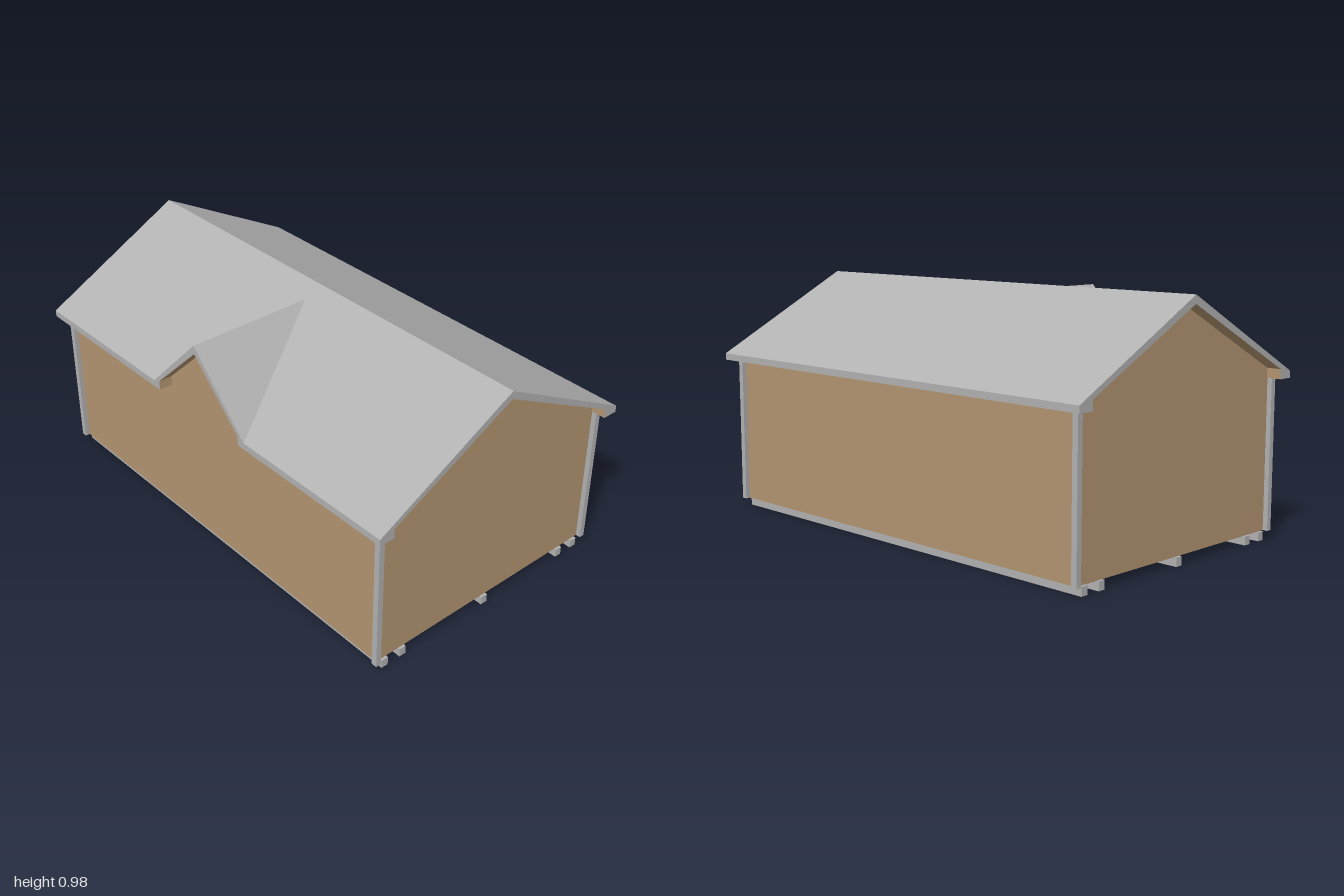
import * as THREE from 'three';

const grey = new THREE.MeshStandardMaterial({ color: 0xb2b2b2, side: THREE.DoubleSide });
grey.name = 'greyMetal';
const tan = new THREE.MeshStandardMaterial({ color: 0xb39571, side: THREE.DoubleSide });
tan.name = 'tanSiding';

// Key dimensions
const RIDGE = 0.983, EAVE_Z = 0.605, EAVE_TOP = 0.66, EAVE_LOW = 0.633, INNER_Z = 0.54;
const UNDER_RIDGE = 0.95, UNDER_EAVE = 0.672;
const DORMER = 0.943, DORMER_X = 0.28, DORMER_UNDER = 0.907, DORMER_IN = 0.245;
const WALL_X = 0.94, WALL_Z = 0.547, FLOOR = 0.035;

// Heights of the roof planes
const topY = z => RIDGE - (RIDGE - EAVE_TOP) * Math.abs(z) / EAVE_Z;
const underY = z => UNDER_RIDGE - (UNDER_RIDGE - UNDER_EAVE) * Math.abs(z) / INNER_Z;
const dormerTopY = x => DORMER - (DORMER - EAVE_TOP) * Math.abs(x) / DORMER_X;
const dormerUnderY = x => DORMER_UNDER - (DORMER_UNDER - UNDER_EAVE) * Math.abs(x) / DORMER_IN;
// Where the dormer ridge runs into the main roof
const VALLEY = EAVE_Z * (RIDGE - DORMER) / (RIDGE - EAVE_TOP);
const UNDER_VALLEY = INNER_Z * (UNDER_RIDGE - DORMER_UNDER) / (UNDER_RIDGE - UNDER_EAVE);

// Ways to place a flat outline (u, v) in space, named by the way it faces
const up = h => (u, v) => [u, h(u, -v), -v];
const down = h => (u, v) => [u, h(u, v), v];
const front = z => (u, v) => [u, v, z];
const back = z => (u, v) => [-u, v, z];
const side = x => (u, v) => [x, v, x > 0 ? -u : u];

export function createModel() {
  const model = new THREE.Group();

  const add = (name, geometry, material) => {
    const mesh = new THREE.Mesh(geometry, material);
    mesh.name = name;
    model.add(mesh);
    return mesh;
  };
  const sheet = (name, outline, place, material) => {
    const g = new THREE.ShapeGeometry(new THREE.Shape(outline.map(p => new THREE.Vector2(...p))));
    const pos = g.attributes.position;
    for (let i = 0; i < pos.count; i++) pos.setXYZ(i, ...place(pos.getX(i), pos.getY(i)));
    g.computeVertexNormals();
    return add(name, g, material);
  };
  const rect = (x0, y0, x1, y1) => [[x0, y0], [x1, y0], [x1, y1], [x0, y1]];

  // Main roof, the front slope notched for the dormer
  sheet('roofBackSlope', rect(-1, 0, 1, EAVE_Z), up((x, z) => topY(z)), grey);
  sheet('roofFrontSlope', [
    [-1, 0], [-1, -EAVE_Z], [-DORMER_X, -EAVE_Z], [0, -VALLEY], [DORMER_X, -EAVE_Z], [1, -EAVE_Z], [1, 0],
  ], up((x, z) => topY(z)), grey);
  sheet('roofBackUnderside', rect(-1, -INNER_Z, 1, 0), down((x, z) => underY(z)), tan);
  sheet('roofFrontUnderside', [
    [-1, 0], [1, 0], [1, INNER_Z], [DORMER_IN, INNER_Z], [0, UNDER_VALLEY], [-DORMER_IN, INNER_Z], [-1, INNER_Z],
  ], down((x, z) => underY(z)), tan);

  // Fascias and gable edges
  sheet('frontFascia', [
    [-1, EAVE_LOW], [-DORMER_IN, EAVE_LOW], [-DORMER_IN, UNDER_EAVE], [0, DORMER_UNDER],
    [DORMER_IN, UNDER_EAVE], [DORMER_IN, EAVE_LOW], [1, EAVE_LOW], [1, EAVE_TOP],
    [DORMER_X, EAVE_TOP], [0, DORMER], [-DORMER_X, EAVE_TOP], [-1, EAVE_TOP],
  ], front(EAVE_Z), grey);
  sheet('backFascia', rect(-1, EAVE_LOW, 1, EAVE_TOP), back(-EAVE_Z), grey);
  for (const s of [-1, 1]) {
    sheet('gableEdge', [
      [-EAVE_Z, EAVE_LOW], [-INNER_Z, EAVE_LOW], [-INNER_Z, UNDER_EAVE], [0, UNDER_RIDGE],
      [INNER_Z, UNDER_EAVE], [INNER_Z, EAVE_LOW], [EAVE_Z, EAVE_LOW], [EAVE_Z, EAVE_TOP],
      [0, RIDGE], [-EAVE_Z, EAVE_TOP],
    ], side(s), grey);
  }

  // Boxed eaves: soffit and inner face
  const spans = [[-1, 1, -1], [-1, -DORMER_IN, 1], [DORMER_IN, 1, 1]];
  for (const [x0, x1, s] of spans) {
    const z0 = s > 0 ? INNER_Z : -EAVE_Z, z1 = s > 0 ? EAVE_Z : -INNER_Z;
    sheet('soffit', rect(x0, z0, x1, z1), down(() => EAVE_LOW), tan);
    if (s > 0) sheet('eaveInnerFace', rect(-x1, EAVE_LOW, -x0, UNDER_EAVE), back(INNER_Z), tan);
    else sheet('eaveInnerFace', rect(x0, EAVE_LOW, x1, UNDER_EAVE), front(-INNER_Z), tan);
  }

  // Dormer roof halves with undersides and eave ends
  for (const s of [-1, 1]) {
    sheet('dormerSlope', [[0, -VALLEY], [0, -EAVE_Z], [s * DORMER_X, -EAVE_Z]],
      up(x => dormerTopY(x)), grey);
    sheet('dormerUnderside', [
      [0, UNDER_VALLEY], [0, EAVE_Z], [s * DORMER_IN, EAVE_Z], [s * DORMER_IN, INNER_Z],
    ], down(x => dormerUnderY(x)), tan);
    sheet('dormerEaveEnd', rect(INNER_Z, EAVE_LOW, EAVE_Z, UNDER_EAVE),
      (u, v) => [s * DORMER_IN, v, u], tan);
  }

  // Walls, open underneath
  sheet('frontWall', [
    [-WALL_X, FLOOR], [WALL_X, FLOOR], [WALL_X, EAVE_LOW + 0.01], [DORMER_IN, EAVE_LOW + 0.01],
    [DORMER_IN, UNDER_EAVE], [0, DORMER_UNDER], [-DORMER_IN, UNDER_EAVE],
    [-DORMER_IN, EAVE_LOW + 0.01], [-WALL_X, EAVE_LOW + 0.01],
  ], front(WALL_Z), tan);
  sheet('backWall', rect(-WALL_X, FLOOR, WALL_X, EAVE_LOW + 0.01), back(-WALL_Z), tan);
  for (const s of [-1, 1]) {
    sheet('gableWall', [
      [-WALL_Z, FLOOR], [WALL_Z, FLOOR], [WALL_Z, UNDER_EAVE - 0.004],
      [0, UNDER_RIDGE], [-WALL_Z, UNDER_EAVE - 0.004],
    ], side(s * WALL_X), tan);
  }

  // Corner posts
  for (const sx of [-1, 1]) for (const sz of [-1, 1]) {
    add('cornerPost', new THREE.BoxGeometry(0.024, EAVE_LOW - FLOOR, 0.023), grey)
      .position.set(sx * 0.948, (EAVE_LOW + FLOOR) / 2, sz * 0.5545);
  }

  // Floor runners
  for (const z of [-0.514, -0.426, 0, 0.426, 0.514]) {
    add('floorRunner', new THREE.BoxGeometry(1.9, FLOOR, 0.03), grey).position.set(0, FLOOR / 2, z);
  }
  return model;
}
